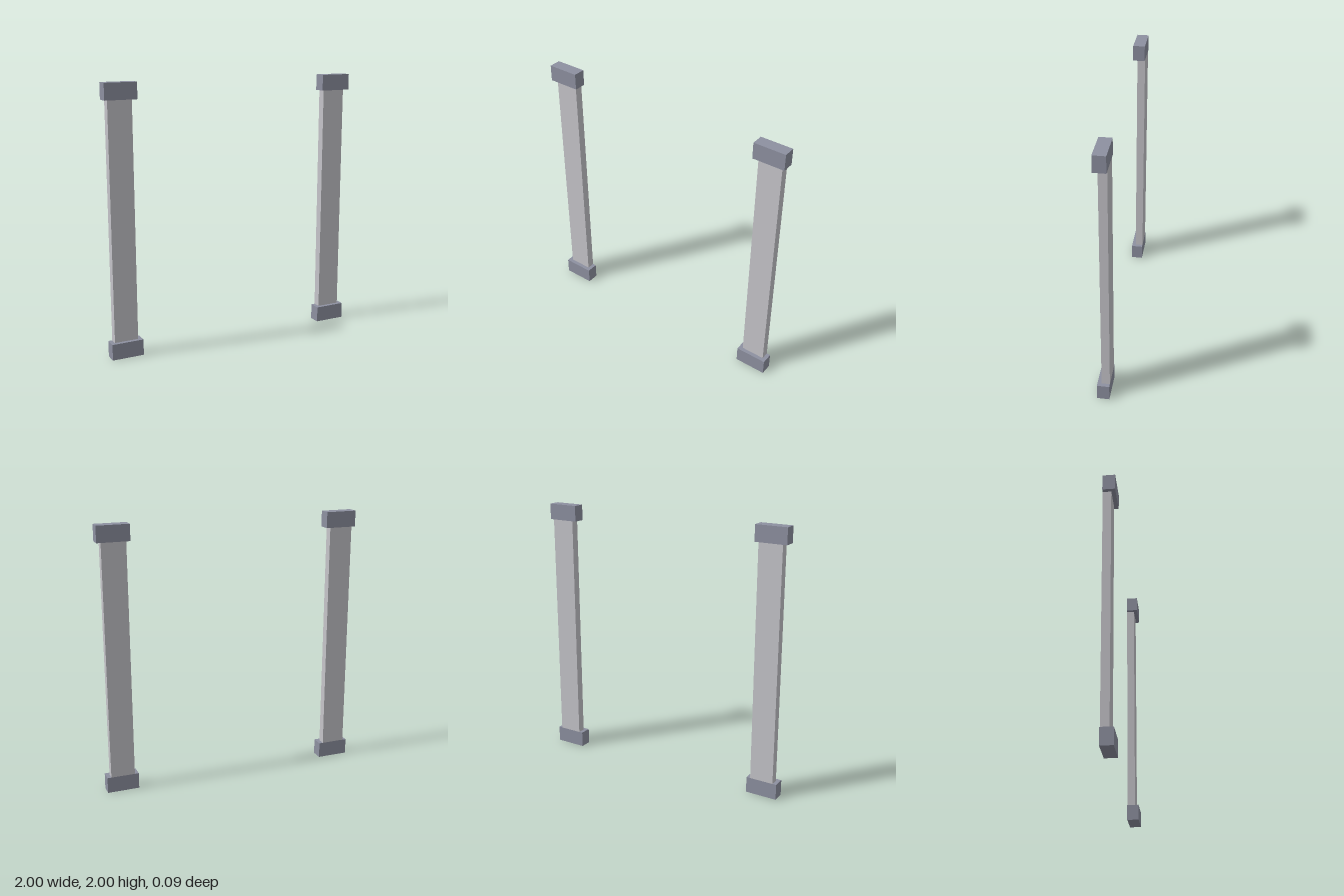
import * as THREE from 'three';

const HEIGHT = 2;
const BLOCK = { w: 0.24, h: 0.12, d: 0.09 };
const POST = { w: 0.18, d: 0.06 };

export function createModel() {
  const model = new THREE.Group();
  model.name = 'pillarPair';

  const blockMaterial = new THREE.MeshStandardMaterial({ color: 0x8d90a0 });
  blockMaterial.name = 'blue grey';
  const postMaterial = new THREE.MeshStandardMaterial({ color: 0xc5c4c9 });
  postMaterial.name = 'light grey';

  const blockGeometry = new THREE.BoxGeometry(BLOCK.w, BLOCK.h, BLOCK.d);
  const postGeometry = new THREE.BoxGeometry(POST.w, HEIGHT - 2 * BLOCK.h, POST.d);

  const addPart = (parent, name, geometry, material, y, z = 0) => {
    const mesh = new THREE.Mesh(geometry, material);
    mesh.name = name;
    mesh.position.set(0, y, z);
    parent.add(mesh);
  };

  for (const [side, sign] of [['left', 1], ['right', -1]]) {
    const pillar = new THREE.Group();
    pillar.name = `${side}Pillar`;
    pillar.position.x = sign * (1 - BLOCK.w / 2);

    // Base and capital blocks
    addPart(pillar, `${side}Base`, blockGeometry, blockMaterial, BLOCK.h / 2);
    addPart(pillar, `${side}Capital`, blockGeometry, blockMaterial, HEIGHT - BLOCK.h / 2);

    // Shaft, flush with the back of the blocks
    addPart(pillar, `${side}Shaft`, postGeometry, postMaterial, HEIGHT / 2, (POST.d - BLOCK.d) / 2);

    model.add(pillar);
  }

  return model;
}
